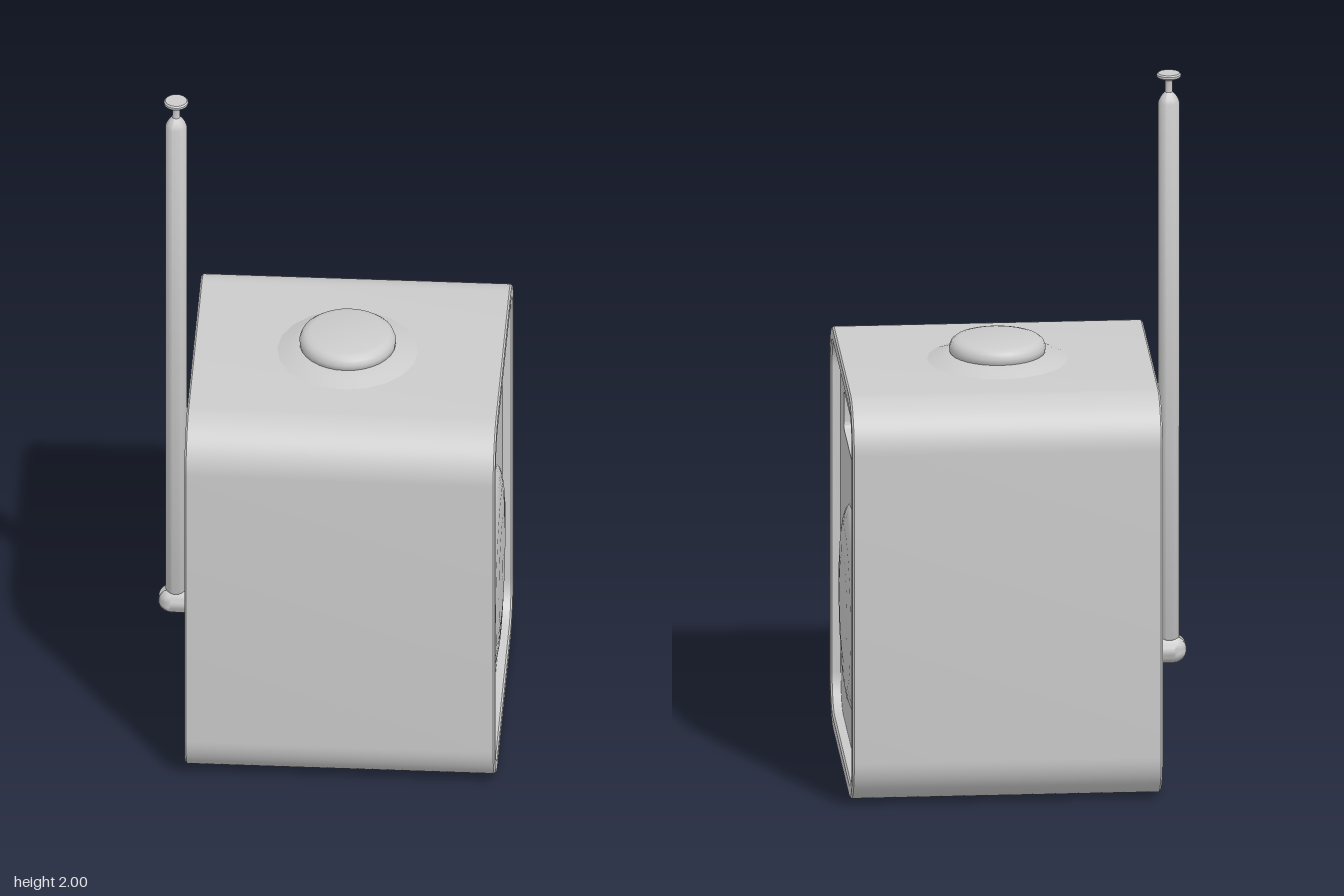
import * as THREE from 'three';
import { toCreasedNormals } from 'three/addons/utils/BufferGeometryUtils.js';

const material = new THREE.MeshStandardMaterial({ color: 0xcccccc });
const W = 0.9, H = 1.175, R = 0.14; // cabinet face width, height, corner radius

function add(parent, name, geometry, crease = 0.6) {
  const mesh = new THREE.Mesh(toCreasedNormals(geometry, crease), material);
  mesh.name = name;
  parent.add(mesh);
  return mesh;
}

// Rounded rectangle centred on (0, cy), counter-clockwise
function roundedRect(w, h, r, cy = 0) {
  const s = new THREE.Shape(), x = w / 2 - r, y = h / 2 - r, q = Math.PI / 2;
  s.absarc(x, cy + y, r, 0, q);
  s.absarc(-x, cy + y, r, q, 2 * q);
  s.absarc(-x, cy - y, r, 2 * q, 3 * q);
  s.absarc(x, cy - y, r, 3 * q, 4 * q);
  s.closePath();
  return s;
}
const inset = (d) => roundedRect(W - 2 * d, H - 2 * d, R - d);

// Skin between rounded-rectangle loops given as [depth, inset]
function loftLoops(loops) {
  const pos = [], idx = [];
  let n = 0;
  for (const [z, d] of loops) {
    const pts = inset(d).getPoints(8);
    n = pts.length;
    for (const p of pts) pos.push(p.x, p.y, z);
  }
  for (let k = 0; k < loops.length - 1; k++) {
    for (let i = 0; i < n; i++) {
      const j = (i + 1) % n, a = k * n, b = a + n;
      idx.push(a + i, a + j, b + j, a + i, b + j, b + i);
    }
  }
  const g = new THREE.BufferGeometry();
  g.setAttribute('position', new THREE.Float32BufferAttribute(pos, 3));
  g.setIndex(idx);
  return g;
}

function lathe(points, sides) {
  return new THREE.LatheGeometry(points.map(([r, y]) => new THREE.Vector2(r, y)), sides);
}

export function createModel() {
  const model = new THREE.Group();
  model.name = 'radio';

  // Cabinet, built facing +z and then turned to face +x
  const cabinet = new THREE.Group();
  cabinet.name = 'cabinet';
  cabinet.position.y = H / 2;
  cabinet.rotation.y = Math.PI / 2;
  model.add(cabinet);
  const panelZ = 0.452;
  add(cabinet, 'shell', loftLoops([
    [-0.388, 0.005], [-0.383, 0], [0.476, 0], [0.481, 0.005],
    [0.481, 0.036], [0.476, 0.042], [panelZ, 0.045],
  ]));
  add(cabinet, 'backPanel', new THREE.ShapeGeometry(inset(0.005), 8).rotateY(Math.PI).translate(0, 0, -0.388));

  // Recessed face with a sunken display window
  const window = () => roundedRect(0.58, 0.113, 0.02, 0.357);
  const face = inset(0.045);
  face.holes.push(window());
  add(cabinet, 'facePanel', new THREE.ShapeGeometry(face, 8).translate(0, 0, panelZ));
  const frame = roundedRect(0.6, 0.133, 0.03, 0.357);
  frame.holes.push(window());
  add(cabinet, 'displayFrame', new THREE.ExtrudeGeometry(frame, { depth: 0.025, bevelEnabled: false, curveSegments: 8 })
    .translate(0, 0, panelZ - 0.0255));
  add(cabinet, 'display', new THREE.ShapeGeometry(frame.clone().extractPoints ? roundedRect(0.59, 0.123, 0.025, 0.357) : frame, 8)
    .translate(0, 0, panelZ - 0.022));

  // Speaker dome
  const speaker = add(cabinet, 'speaker', lathe(
    [[0.292, -0.002], [0.285, 0.005], [0.265, 0.013], [0.23, 0.019], [0.15, 0.023], [0, 0.025]], 24), 1);
  speaker.rotation.x = Math.PI / 2;
  speaker.position.set(0, 0.455 - H / 2, panelZ);

  // Dial on the top
  const dial = new THREE.Group();
  dial.name = 'dial';
  dial.position.set(0.043, H, 0);
  model.add(dial);
  add(dial, 'dialCollar', lathe([[0.197, 0], [0.165, 0.011], [0.135, 0.02], [0.12, 0.021]], 20));
  add(dial, 'dialKnob', lathe([
    [0.125, 0.014], [0.134, 0.022], [0.135, 0.036], [0.13, 0.05], [0.12, 0.058], [0.105, 0.062], [0, 0.063],
  ], 32), 0.8);

  // Forked hinge: a domed stub whose halves are flattened along the slot
  const hinge = new THREE.Group();
  hinge.name = 'antennaHinge';
  hinge.position.set(-0.398, 0.316, 0);
  model.add(hinge);
  const stub = [[0, 0], [0.04, 0], [0.04, 0.05]];
  for (let i = 1; i <= 6; i++) {
    const a = i * Math.PI / 12;
    stub.push([i === 6 ? 0 : 0.04 * Math.cos(a), 0.05 + 0.038 * Math.sin(a)]);
  }
  for (const side of [1, -1]) {
    const g = lathe(stub, 24).rotateZ(Math.PI / 2);
    const p = g.attributes.position;
    for (let i = 0; i < p.count; i++) p.setZ(i, side * Math.max(side * p.getZ(i), 0.013));
    add(hinge, side > 0 ? 'hingeForkLeft' : 'hingeForkRight', g);
  }
  add(hinge, 'hingeBase', new THREE.CylinderGeometry(0.039, 0.039, 0.018, 24).rotateZ(Math.PI / 2));
  add(hinge, 'hingeTongue', new THREE.BoxGeometry(0.045, 0.06, 0.024)).position.set(-0.04, 0.01, 0);

  // Telescopic antenna with a button tip
  const antenna = add(model, 'antenna', lathe([
    [0, 0.345], [0.026, 0.345], [0.03, 0.352], [0.03, 1.915], [0.026, 1.925], [0.02, 1.935], [0.011, 1.945],
    [0.01, 1.975], [0.014, 1.982], [0.03, 1.986], [0.034, 1.99], [0.034, 1.996], [0.03, 2], [0, 2],
  ], 20));
  antenna.position.x = -0.437;

  return model;
}
